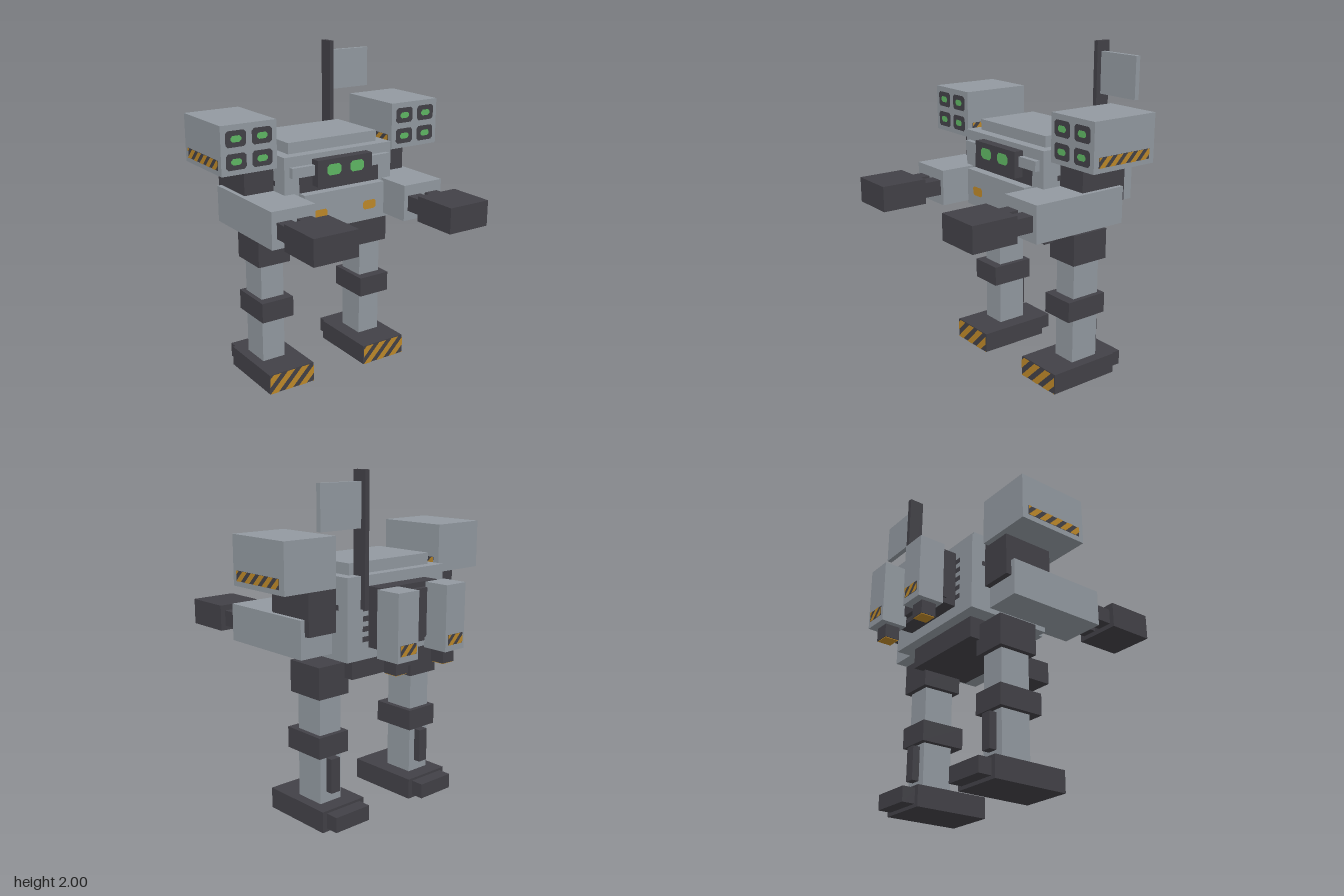
import * as THREE from 'three';

const mat = (name, color) => {
  const m = new THREE.MeshStandardMaterial({ color });
  m.name = name;
  return m;
};

export function createModel() {
  const grey = mat('armourGrey', 0x9299a0);
  const dark = mat('frameDark', 0x424147);
  const amber = mat('warningAmber', 0xbd8829);
  const green = mat('glowGreen', 0x5fb763);

  const root = new THREE.Group();
  root.name = 'walkerRobot';

  // Box given by its extents on each axis
  const box = (name, m, [x0, x1], [y0, y1], [z0, z1], parent = root) => {
    const mesh = new THREE.Mesh(new THREE.BoxGeometry(Math.abs(x1 - x0), y1 - y0, Math.abs(z1 - z0)), m);
    mesh.name = name;
    mesh.position.set((x0 + x1) / 2, (y0 + y1) / 2, (z0 + z1) / 2);
    parent.add(mesh);
    return mesh;
  };

  // Flat painted polygon, turned about y
  const plate = (name, m, pts, pos, turn = 0, parent = root) => {
    const shape = new THREE.Shape(pts.map(p => new THREE.Vector2(p[0], p[1])));
    const mesh = new THREE.Mesh(new THREE.ShapeGeometry(shape), m);
    mesh.name = name;
    mesh.position.set(...pos);
    mesh.rotation.y = turn;
    parent.add(mesh);
    return mesh;
  };

  // Centred rectangle with cut corners
  const cutRect = (w, h, c) => {
    const a = w / 2, b = h / 2;
    return [[-a + c, -b], [a - c, -b], [a, -b + c], [a, b - c], [a - c, b], [-a + c, b], [-a, b - c], [-a, -b + c]];
  };
  const rect = (w, h) => [[-w / 2, -h / 2], [w / 2, -h / 2], [w / 2, h / 2], [-w / 2, h / 2]];

  // Keep the part of a polygon where nx * x <= limit
  const clipX = (pts, sign, limit) => {
    const out = [];
    pts.forEach((p, i) => {
      const q = pts[(i + 1) % pts.length];
      const dp = limit - sign * p[0], dq = limit - sign * q[0];
      if (dp >= 0) out.push(p);
      if (dp * dq < 0) {
        const t = dp / (dp - dq);
        out.push([p[0] + (q[0] - p[0]) * t, p[1] + (q[1] - p[1]) * t]);
      }
    });
    return out;
  };

  // Dark strip with slanted amber bands
  const hazard = (w, h, period, pos, turn, parent = root) => {
    const g = new THREE.Group();
    g.name = 'hazardStripes';
    g.position.set(...pos);
    g.rotation.y = turn;
    parent.add(g);
    plate('stripeBacking', dark, rect(w, h), [0, 0, 0.003], 0, g);
    const band = period * 0.55;
    for (let a = -w / 2 - 2 * period; a < w / 2; a += period) {
      let pts = [[a, -h / 2], [a + band, -h / 2], [a + band + h, h / 2], [a + h, h / 2]];
      pts = clipX(clipX(pts, 1, w / 2), -1, w / 2);
      if (pts.length > 2) plate('stripe', amber, pts, [0, 0, 0.006], 0, g);
    }
  };

  // Torso
  box('torso', grey, [-0.375, 0.375], [0.975, 1.44], [-0.444, 0.084]);
  box('topHatch', grey, [-0.31, 0.31], [1.44, 1.505], [-0.385, 0.02]);
  box('pelvis', dark, [-0.28, 0.28], [0.85, 0.975], [-0.38, -0.005]);
  box('chestPlate', grey, [-0.28, 0.28], [1.0, 1.22], [0.08, 0.145]);
  plate('chestRecess', dark, rect(0.56, 0.1), [0, 1.27, 0.088]);
  box('browBar', grey, [-0.34, 0.34], [1.32, 1.38], [0.08, 0.115]);
  box('visor', dark, [-0.19, 0.19], [1.255, 1.41], [0.08, 0.146]);

  // Backpack with side vents
  box('backpack', dark, [-0.22, 0.22], [1.04, 1.38], [-0.54, -0.44]);
  box('backpackCover', dark, [-0.23, 0.23], [1.07, 1.35], [-0.57, -0.51]);
  for (let i = 0; i < 5; i++) {
    plate('backVent', dark, rect(0.53, 0.03), [0, 1.09 + i * 0.057, -0.447], Math.PI);
  }

  // Mast and flag
  box('mast', dark, [0.25, 0.278], [1.26, 2.0], [-0.477, -0.385]);
  box('flag', grey, [0.278, 0.56], [1.695, 1.94], [-0.445, -0.415]);

  for (const s of [-1, 1]) {
    const side = s > 0 ? 'left' : 'right';
    const X = (a, b) => [s * a, s * b];
    const group = name => {
      const g = new THREE.Group();
      g.name = side + name;
      root.add(g);
      return g;
    };

    // Face and chest lights
    plate(side + 'Eye', green, cutRect(0.098, 0.065, 0.016), [s * 0.08, 1.348, 0.15]);
    plate(side + 'ChestLight', amber, cutRect(0.092, 0.055, 0.012), [s * 0.173, 1.095, 0.149]);

    // Leg
    const leg = group('Leg');
    box('hip', dark, X(0.253, 0.468), [0.755, 0.94], [-0.318, -0.07], leg);
    box('thigh', grey, X(0.285, 0.438), [0.53, 0.76], [-0.288, -0.1], leg);
    box('knee', dark, X(0.253, 0.468), [0.41, 0.535], [-0.318, -0.04], leg);
    box('shin', grey, X(0.285, 0.438), [0.12, 0.415], [-0.288, -0.1], leg);
    box('calfPiston', dark, X(0.33, 0.393), [0.19, 0.395], [-0.333, -0.28], leg);
    box('foot', dark, X(0.19, 0.5), [0, 0.125], [-0.38, 0.084], leg);
    box('heel', dark, X(0.22, 0.47), [0.02, 0.11], [-0.46, -0.375], leg);
    hazard(0.31, 0.123, 0.1, [s * 0.345, 0.0625, 0.084], 0, leg);

    // Arm
    const arm = group('Arm');
    box('shoulder', dark, X(0.37, 0.565), [1.13, 1.405], [-0.352, -0.038], arm);
    plate('shoulderVent', dark, rect(0.36, 0.03), [s * 0.378, 1.27, -0.195], s * Math.PI / 2, arm);
    box('forearm', grey, X(0.312, 0.592), [1.005, 1.222], [-0.318, 0.305], arm);
    box('innerBarrel', dark, X(0.34, 0.433), [1.065, 1.157], [0.3, 0.435], arm);
    box('outerBarrel', dark, X(0.468, 0.56), [1.065, 1.157], [0.3, 0.435], arm);
    box('gunBlock', dark, X(0.312, 0.59), [1.038, 1.19], [0.43, 0.713], arm);

    // Shoulder launcher
    const pod = group('Launcher');
    box('launcherBox', grey, X(0.403, 0.75), [1.38, 1.66], [-0.385, 0.055], pod);
    for (const x of [0.497, 0.659]) {
      for (const y of [1.455, 1.582]) {
        plate('launchTube', dark, cutRect(0.126, 0.092, 0.014), [s * x, y, 0.058], 0, pod);
        plate('tubeGlow', green, cutRect(0.066, 0.036, 0.012), [s * x, y, 0.061], 0, pod);
      }
    }
    hazard(0.37, 0.058, 0.075, [s * 0.75, 1.438, -0.162], s * Math.PI / 2, pod);
    hazard(0.37, 0.058, 0.075, [s * 0.403, 1.438, -0.162], -s * Math.PI / 2, pod);

    // Back thruster
    const thruster = group('Thruster');
    box('thrusterBody', grey, X(0.109, 0.263), [1.005, 1.38], [-0.713, -0.556], thruster);
    box('nozzle', dark, X(0.141, 0.231), [0.926, 1.01], [-0.67, -0.58], thruster);
    box('nozzleGlow', amber, X(0.145, 0.227), [0.922, 0.93], [-0.666, -0.584], thruster);
    hazard(0.12, 0.06, 0.07, [s * 0.186, 1.07, -0.713], Math.PI, thruster);
  }

  return root;
}
